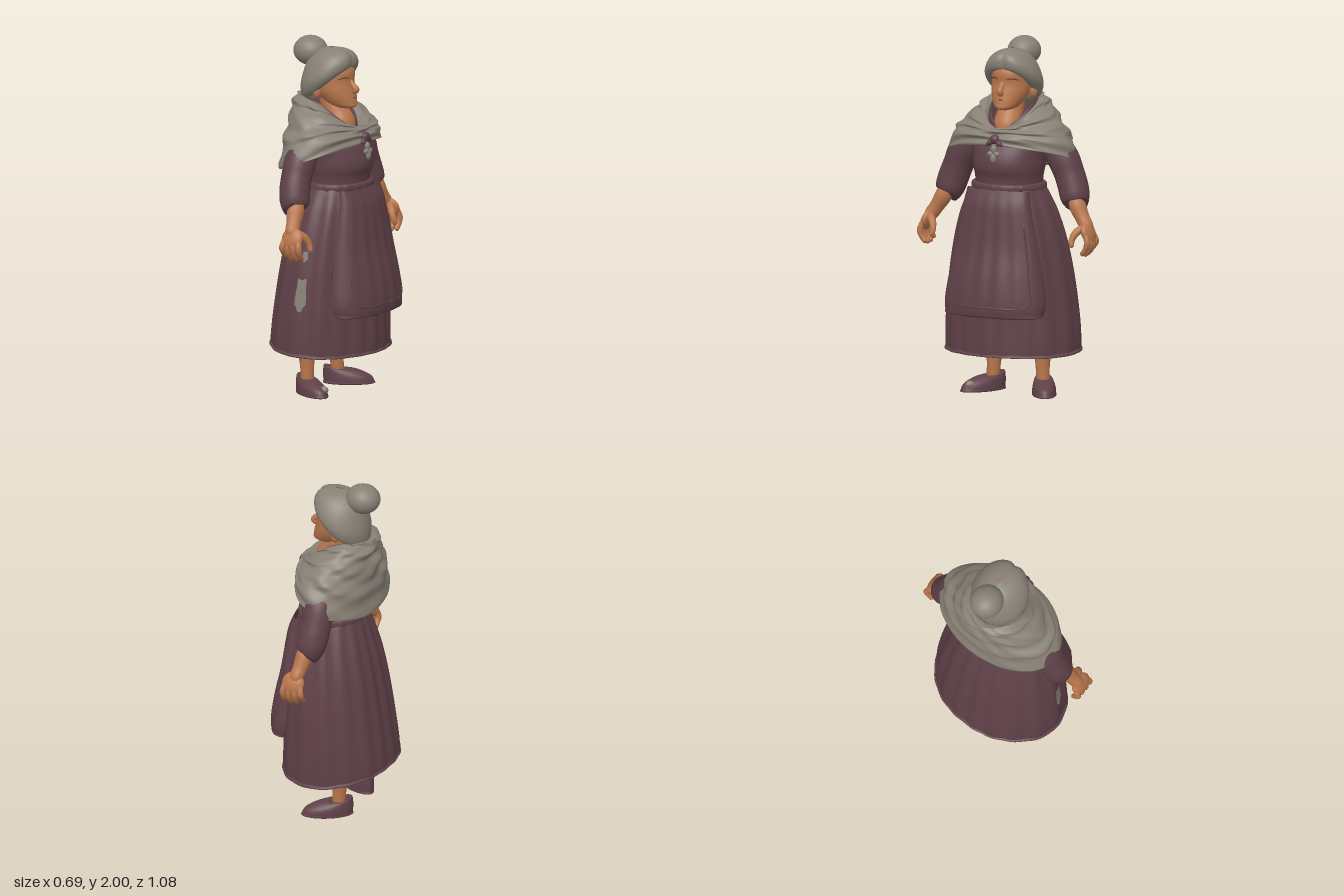
import * as THREE from 'three';

const mat = (name, color, side = THREE.FrontSide) => {
  const m = new THREE.MeshStandardMaterial({ color, side });
  m.name = name;
  return m;
};

// Smooth interpolation through rows of numbers, t from 0 to 1
function sample(rows, t) {
  const k = t * (rows.length - 1), i = Math.min(Math.floor(k), rows.length - 2), f = k - i;
  const at = (j) => rows[Math.max(0, Math.min(rows.length - 1, j))];
  return rows[0].map((_, c) => {
    const a = at(i - 1)[c], b = at(i)[c], d = at(i + 1)[c], e = at(i + 2)[c];
    return b + 0.5 * f * (d - a + f * (2 * a - 5 * b + 4 * d - e + f * (3 * (b - d) + e - a)));
  });
}

// Surface closed around u, running along v
function grid(n, m, f) {
  const pos = [], idx = [];
  for (let i = 0; i <= m; i++) for (let j = 0; j < n; j++) pos.push(...f(j / n, i / m));
  for (let i = 0; i < m; i++) for (let j = 0; j < n; j++) {
    const a = i * n + j, b = i * n + (j + 1) % n;
    idx.push(a, b, a + n, b, b + n, a + n);
  }
  const g = new THREE.BufferGeometry();
  g.setAttribute('position', new THREE.Float32BufferAttribute(pos, 3));
  g.setIndex(idx);
  g.computeVertexNormals();
  return g;
}

// Oval cross-sections, top to bottom: [yBack, yFront, ySide, xBack, xFront, halfWidth]
function ovalSurface(rows, fold = () => 0) {
  return (u, v) => {
    const [yb, yf, ys, xb, xf, rz] = sample(rows, v);
    const a = u * Math.PI * 2, c = Math.cos(a), s = Math.sin(a), k = fold(a, v);
    return [(xb + xf) / 2 + ((xf - xb) / 2 + k) * c,
      ys + (yf - yb) / 2 * c + ((yf + yb) / 2 - ys) * c * c, (rz + k) * s];
  };
}
const level = (rows) => rows.map(([y, xb, xf, rz]) => [y, y, y, xb, xf, rz]);
const loft = (rows, fold, n = 40, m = 40) => grid(n, m, ovalSurface(rows, fold));

// Round limb through points [x, y, z, radius], closed at both ends
function limb(pts, n = 14, m = 24) {
  const curve = new THREE.CatmullRomCurve3(pts.map((p) => new THREE.Vector3(p[0], p[1], p[2])));
  const fr = curve.computeFrenetFrames(m);
  return grid(n, m, (u, v) => {
    const i = Math.round(v * m), a = u * Math.PI * 2;
    const t = curve.getUtoTmapping(v);
    const r = i === 0 || i === m ? 0.0005 : sample(pts.map((p) => [p[3]]), t)[0];
    return curve.getPoint(t).addScaledVector(fr.normals[i], r * Math.cos(a))
      .addScaledVector(fr.binormals[i], r * Math.sin(a)).toArray();
  });
}

export function createModel() {
  const root = new THREE.Group();
  root.name = 'oldWoman';
  const cloth = mat('plumCloth', 0x5f4148, THREE.DoubleSide);
  const wool = mat('greyWool', 0x878075, THREE.DoubleSide);
  const skin = mat('skin', 0xb8764c);
  const dark = mat('darkBrown', 0x6e4532);
  const add = (name, geo, material, parent = root) => {
    const mesh = new THREE.Mesh(geo, material);
    mesh.name = name;
    parent.add(mesh);
    return mesh;
  };
  const ball = (name, material, p, r, tilt = [0, 0, 0], parent = root) => {
    const mesh = add(name, new THREE.SphereGeometry(1, 28, 20), material, parent);
    mesh.position.set(...p);
    mesh.scale.set(...r);
    mesh.rotation.set(...tilt);
  };

  // Skirt with gathered folds and a closed underside
  const skirt = ovalSurface([
    [1.2, 1.2, 1.2, -0.155, 0.195, 0.2], [1.15, 1.15, 1.15, -0.175, 0.21, 0.23],
    [1.05, 1.05, 1.05, -0.208, 0.235, 0.275], [0.9, 0.9, 0.9, -0.248, 0.25, 0.32],
    [0.7, 0.7, 0.7, -0.285, 0.26, 0.358], [0.45, 0.45, 0.45, -0.322, 0.27, 0.385],
    [0.3, 0.26, 0.265, -0.338, 0.275, 0.39], [0.31, 0.27, 0.28, -0.315, 0.255, 0.365],
    [0.36, 0.34, 0.35, -0.03, -0.02, 0.005]],
  (a, v) => 0.005 * Math.min(1, v * 4) * Math.max(0, Math.min(1, (0.9 - v) * 4))
    * (Math.sin(a * 17 + 2 * Math.sin(a * 2)) + 0.8 * Math.sin(a * 7 + 1)));
  add('skirt', grid(170, 64, skirt), cloth);

  // Ragged worn patches on the left of the skirt
  [[0.235, 0.545, 0.016, 0.042], [0.236, 0.428, 0.009, 0.017], [0.322, 0.222, 0.01, 0.014]]
    .forEach(([cu, cv, ru, rv]) => add('skirtPatch', grid(28, 6, (u, v) => {
      const a = u * Math.PI * 2, r = v * (1.05 + 0.12 * Math.sin(a * 5));
      const square = (t) => Math.sign(t) * Math.abs(t) ** 0.6;
      const p = skirt(cu + ru * r * square(Math.cos(a)), cv + rv * r * square(Math.sin(a)));
      return [p[0], p[1], p[2] + 0.006];
    }), wool));

  // Apron: [y, halfWidth, xFront, xEdge]
  const apronRows = [[1.18, 0.19, 0.21, 0.15], [1.1, 0.205, 0.245, 0.16], [1, 0.228, 0.262, 0.163],
    [0.85, 0.26, 0.283, 0.16], [0.7, 0.287, 0.318, 0.155], [0.57, 0.307, 0.338, 0.16],
    [0.5, 0.3, 0.338, 0.18], [0.475, 0.27, 0.325, 0.2], [0.48, 0.02, 0.27, 0.25]];
  add('apron', grid(90, 48, (u, v) => {
    const [y, w, xf, xe] = sample(apronRows, v);
    const a = u * Math.PI * 2, c = Math.cos(a), s = Math.sin(a);
    const back = c < 0 ? 0.05 * Math.sqrt(-c) : -0.004 * Math.sin(s * 17) * c * Math.sin(Math.PI * v);
    return [xe + (xf - xe) * Math.abs(c) ** 0.75 - back, y, w * s];
  }), cloth);
  // Stitched hem on the apron
  const hemPoint = (y, s) => {
    let t = 0;
    while (sample(apronRows, t)[0] > y && t < 0.8) t += 0.004;
    const [, w, xf, xe] = sample(apronRows, t);
    return [xe + (xf - xe) * (1 - s * s) ** 0.375 - 0.001, y, w * s, 0.005];
  };
  const hem = [];
  for (let i = 0; i <= 6; i++) hem.push(hemPoint(1 - i * 0.073, 0.84));
  for (let i = 1; i < 6; i++) hem.push(hemPoint(0.535, 0.84 * (1 - i / 3)));
  for (let i = 6; i >= 0; i--) hem.push(hemPoint(1 - i * 0.073, -0.84));
  add('apronHem', limb(hem, 6, 90), cloth);

  // Bodice, waistband and collar
  add('bodice', loft(level([[1.6, -0.08, -0.06, 0.01], [1.59, -0.15, 0.02, 0.12], [1.53, -0.19, 0.09, 0.2],
    [1.45, -0.2, 0.155, 0.23], [1.37, -0.19, 0.2, 0.21], [1.3, -0.175, 0.212, 0.205],
    [1.24, -0.155, 0.195, 0.195], [1.17, -0.15, 0.19, 0.19]])), cloth);
  add('waistband', loft(level([[1.21, -0.14, 0.18, 0.18], [1.208, -0.162, 0.205, 0.206],
    [1.19, -0.168, 0.211, 0.214], [1.172, -0.166, 0.206, 0.21], [1.165, -0.14, 0.18, 0.18]]),
  (a) => 0.002 * Math.sin(a * 21), 100, 14), cloth);
  add('collar', loft([[1.58, 1.48, 1.56, -0.14, 0.08, 0.09], [1.65, 1.52, 1.64, -0.165, 0.1, 0.115],
    [1.655, 1.52, 1.645, -0.18, 0.115, 0.13], [1.57, 1.46, 1.56, -0.19, 0.13, 0.15]]), cloth);

  // Draped shawl
  add('shawl', loft([
    [1.6, 1.46, 1.57, -0.17, 0.11, 0.12], [1.665, 1.5, 1.64, -0.2, 0.135, 0.14],
    [1.675, 1.52, 1.66, -0.228, 0.15, 0.165], [1.625, 1.52, 1.62, -0.243, 0.168, 0.215],
    [1.52, 1.505, 1.54, -0.247, 0.186, 0.295], [1.4, 1.475, 1.455, -0.254, 0.195, 0.355],
    [1.27, 1.43, 1.35, -0.265, 0.195, 0.388], [1.28, 1.43, 1.355, -0.24, 0.175, 0.36],
    [1.4, 1.46, 1.44, -0.2, 0.15, 0.28]],
  (a, v) => 0.008 * Math.sin(Math.PI * Math.min(1, v * 1.2))
    * (Math.sin(v * 48 + 3 * Math.cos(a) + Math.sin(a * 3))
      + 0.7 * Math.sin(v * 29 - 4 * Math.sin(a * 2)) + 0.4 * Math.sin(v * 75 + 5 * Math.sin(a * 2 + 1))),
  130, 110), wool);

  // Knot and hanging ornament
  ball('shawlKnot', cloth, [0.197, 1.465, 0], [0.026, 0.026, 0.03]);
  for (const s of [1, -1]) {
    add('knotRibbon', limb([[0.195, 1.46, 0, 0.012], [0.205, 1.445, s * 0.03, 0.014], [0.205, 1.43, s * 0.048, 0.008]]), cloth);
    ball('ornamentArm', wool, [0.216, 1.385, s * 0.02], [0.013, 0.015, 0.018]);
  }
  ball('ornamentTop', wool, [0.212, 1.41, 0], [0.014, 0.025, 0.018]);
  ball('ornamentBottom', wool, [0.219, 1.36, 0], [0.013, 0.026, 0.018]);

  // Neck and head
  add('neck', limb([[-0.04, 1.75, 0, 0.07], [-0.025, 1.66, 0, 0.068], [0.01, 1.58, 0, 0.072],
    [0.04, 1.52, 0, 0.08], [0.05, 1.46, 0, 0.07]], 24), skin);
  add('head', loft(level([[1.92, -0.03, -0.01, 0.005], [1.9, -0.1, 0.06, 0.08], [1.83, -0.13, 0.108, 0.105],
    [1.765, -0.13, 0.108, 0.11], [1.71, -0.12, 0.12, 0.105], [1.655, -0.07, 0.132, 0.08],
    [1.625, -0.02, 0.13, 0.052], [1.61, 0.05, 0.07, 0.005]])), skin);
  add('nose', limb([[0.09, 1.79, 0, 0.008], [0.112, 1.755, 0, 0.014], [0.138, 1.722, 0, 0.018], [0.118, 1.706, 0, 0.014]]), skin);
  add('mouth', limb([[0.121, 1.676, 0.02, 0.003], [0.127, 1.678, 0, 0.004], [0.121, 1.676, -0.02, 0.003]], 8), dark);

  // Hair: one swept mass with a front parting, nape and bun
  add('hair', loft([[1.952, 1.952, 1.952, -0.04, 0, 0.005], [1.93, 1.945, 1.935, -0.1, 0.06, 0.07],
    [1.88, 1.93, 1.89, -0.155, 0.098, 0.122], [1.8, 1.9, 1.825, -0.185, 0.118, 0.156],
    [1.72, 1.865, 1.765, -0.198, 0.118, 0.165], [1.65, 1.845, 1.72, -0.185, 0.104, 0.14],
    [1.66, 1.855, 1.74, -0.12, 0.08, 0.09]],
  (a, v) => (Math.cos(a) > 0 ? -0.014 * Math.sin(Math.PI * v) * Math.exp(-((Math.sin(a) / 0.15) ** 2)) : 0), 64), wool);
  ball('hairNape', wool, [-0.128, 1.695, 0], [0.066, 0.07, 0.112]);
  ball('bun', wool, [-0.163, 1.916, 0], [0.098, 0.084, 0.093]);

  for (const s of [1, -1]) {
    ball('ear', skin, [-0.045, 1.715, s * 0.116], [0.025, 0.042, 0.026]);
    add('brow', limb([[0.103, 1.79, s * 0.022, 0.005], [0.092, 1.796, s * 0.05, 0.006], [0.068, 1.787, s * 0.082, 0.004]], 8), dark);

    // Puffed sleeve, forearm and hand
    add('sleeve', limb([[-0.04, 1.48, s * 0.17, 0.07], [-0.038, 1.42, s * 0.25, 0.086], [-0.035, 1.35, s * 0.308, 0.09],
      [-0.035, 1.27, s * 0.345, 0.086], [-0.03, 1.2, s * 0.372, 0.086], [-0.02, 1.14, s * 0.39, 0.083],
      [-0.01, 1.1, s * 0.403, 0.068], [0, 1.09, s * 0.408, 0.045]], 26, 40), cloth);
    add('forearm', limb([[0, 1.14, s * 0.4, 0.04], [0.005, 1.09, s * 0.42, 0.048], [0.015, 1.03, s * 0.455, 0.041],
      [0.025, 0.98, s * 0.488, 0.038], [0.03, 0.95, s * 0.5, 0.02]]), skin);
    ball('palm', skin, [0.036, 0.953, s * 0.502], [0.066, 0.064, 0.029], [-s * 0.35, 0, 0]);
    for (let i = 0; i < 4; i++) {
      const x = -0.01 + i * 0.031, d = [0.02, 0.004, 0, 0.008][i], e = (i - 1.5) * 0.005;
      add('finger', limb([[x, 0.95, s * 0.508, 0.015], [x + e, 0.9, s * 0.522, 0.018],
        [x + e, 0.86 + d, s * 0.513, 0.016], [x + e, 0.828 + d, s * 0.488, 0.013], [x + e, 0.824 + d, s * 0.48, 0.009]], 10, 16), skin);
    }
    add('thumb', limb([[0.05, 0.985, s * 0.485, 0.022], [0.083, 0.955, s * 0.45, 0.022],
      [0.105, 0.915, s * 0.434, 0.017], [0.115, 0.882, s * 0.438, 0.014], [0.116, 0.872, s * 0.442, 0.009]], 12, 18), skin);

    // Leg and turned-out shoe
    add('leg', limb([[-0.1, 0.42, s * 0.15, 0.055], [-0.1, 0.28, s * 0.15, 0.053], [-0.09, 0.17, s * 0.152, 0.041],
      [-0.087, 0.1, s * 0.155, 0.037], [-0.085, 0.05, s * 0.157, 0.035]]), skin);
    const shoe = new THREE.Group();
    shoe.name = 'shoe';
    shoe.position.set(-0.09, 0, s * 0.158);
    shoe.rotation.y = -s * 0.52;
    root.add(shoe);
    add('shoeUpper', loft([[0.08, 0.075, 0.078, -0.03, 0.04, 0.02], [0.108, 0.088, 0.09, -0.068, 0.065, 0.045],
      [0.09, 0.08, 0.075, -0.076, 0.12, 0.056], [0.05, 0.05, 0.05, -0.078, 0.185, 0.064],
      [0.02, 0.02, 0.02, -0.075, 0.207, 0.067], [0.002, 0.002, 0.002, -0.07, 0.2, 0.062],
      [0, 0, 0, 0.04, 0.06, 0.005]]), cloth, shoe);
    if (s > 0) ball('shoePatch', wool, [0.168, 0.046, -0.023], [0.028, 0.021, 0.022], [0, 0, 0], shoe);
  }
  return root;
}
